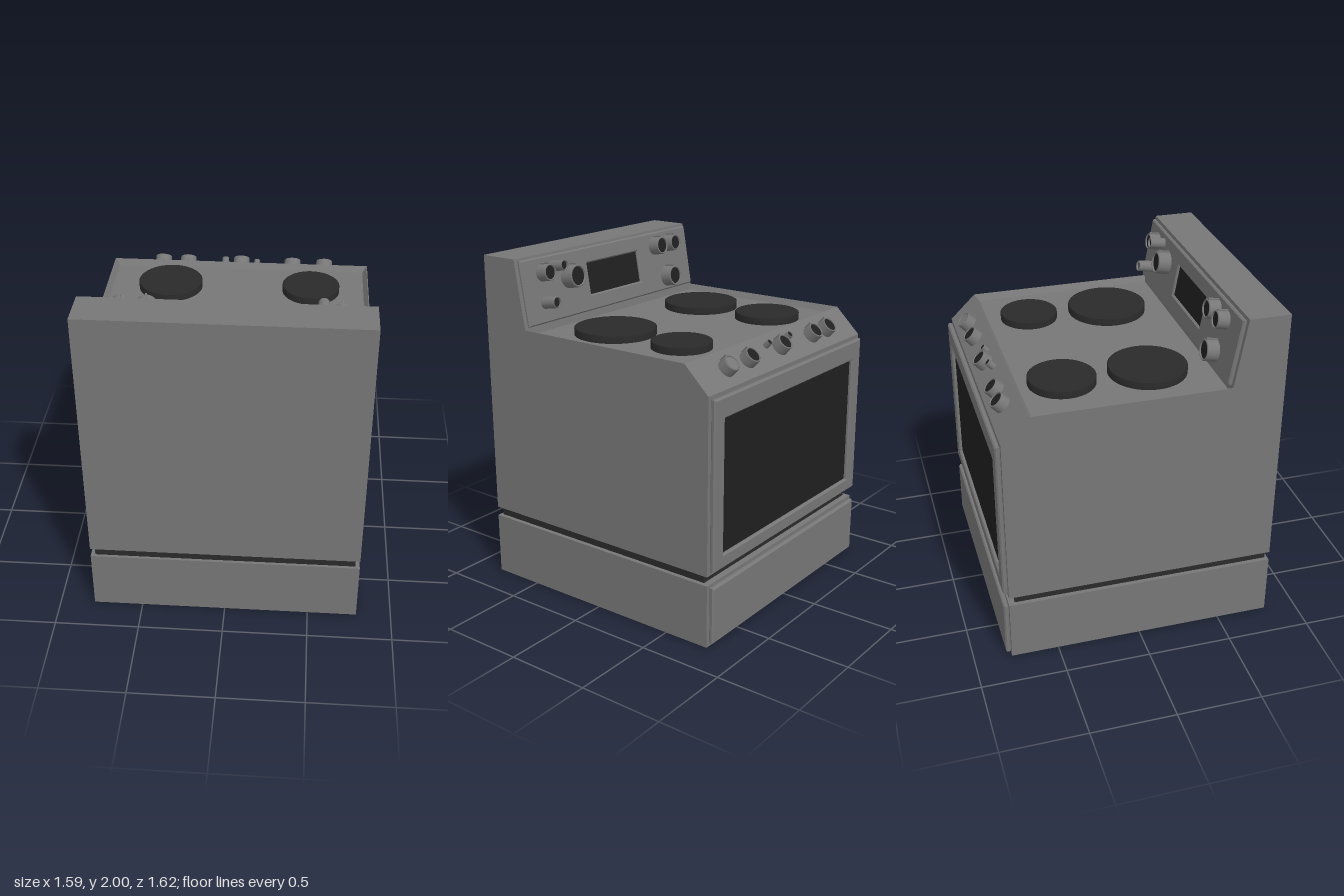
import * as THREE from 'three';

const mat = (color, side = THREE.FrontSide) => new THREE.MeshStandardMaterial({ color, side });
const steel = mat(0x777777);
const black = mat(0x2a2a2a);
const glass = mat(0x1f1f1f);
const knobSteel = mat(0x777777, THREE.DoubleSide);
const W = 1.586;

function add(parent, name, geometry, material, x = 0, y = 0, z = 0) {
  const mesh = new THREE.Mesh(geometry, material);
  mesh.name = name;
  mesh.position.set(x, y, z);
  parent.add(mesh);
  return mesh;
}

// Group whose local +y points along the outward normal (0, ny, nz); local +z runs up the face
function mount(parent, name, x, y, z, ny, nz) {
  const g = new THREE.Group();
  g.name = name;
  g.position.set(x, y, z);
  g.rotation.x = Math.atan2(nz, ny);
  parent.add(g);
  return g;
}

// Extrude a (z, y) outline across the width
function acrossX(points, width) {
  const shape = new THREE.Shape(points.map(([z, y]) => new THREE.Vector2(z, y)));
  return new THREE.ExtrudeGeometry(shape, { depth: width, bevelEnabled: false })
    .translate(0, 0, -width / 2).rotateY(-Math.PI / 2);
}

function rectPath(Type, w, h, x = 0, y = 0) {
  const p = new Type();
  p.moveTo(x - w / 2, y - h / 2);
  p.lineTo(x + w / 2, y - h / 2);
  p.lineTo(x + w / 2, y + h / 2);
  p.lineTo(x - w / 2, y + h / 2);
  p.closePath();
  return p;
}

// Bevelled plate lying on local y = 0, with an optional opening [w, h, x, z]
function plate(w, h, t, hole) {
  const b = 0.008;
  const shape = rectPath(THREE.Shape, w, h);
  if (hole) shape.holes.push(rectPath(THREE.Path, hole[0], hole[1], hole[2], -hole[3]));
  return new THREE.ExtrudeGeometry(shape, {
    depth: t - 2 * b, bevelThickness: b, bevelSize: b, bevelOffset: -b, bevelSegments: 1,
  }).translate(0, 0, b).rotateX(-Math.PI / 2);
}

// Hollow-topped knob with a sunken cap and a pointer ridge
function knob(g, r, h, capMaterial, ridge) {
  const profile = [[r, 0], [r * 0.96, h * 0.94], [r * 0.9, h], [r * 0.8, h], [r * 0.78, h * 0.8]]
    .map(([x, y]) => new THREE.Vector2(x, y));
  add(g, 'knobBody', new THREE.LatheGeometry(profile, 28), knobSteel);
  add(g, 'knobCap', new THREE.CylinderGeometry(r * 0.79, r * 0.79, 0.01, 28), capMaterial, 0, h * 0.82, 0);
  if (ridge) add(g, 'knobPointer', new THREE.BoxGeometry(0.01, h * 0.9, 0.014), steel, 0, h * 0.5, r);
}

export function createModel() {
  const model = new THREE.Group();
  model.name = 'stove';

  // Base, dark gap and main body
  add(model, 'base', new THREE.BoxGeometry(W, 0.375, 1.59), steel, 0, 0.1875, 0.015);
  add(model, 'shadowGap', new THREE.BoxGeometry(1.535, 0.08, 1.535), black, 0, 0.403, 0.025);
  add(model, 'body', acrossX([
    [0.81, 0.43], [0.81, 2], [0.573, 2], [0.505, 1.6], [0.5, 1.565],
    [-0.6, 1.565], [-0.626, 1.6], [-0.78, 1.45], [-0.78, 0.43],
  ], W), steel);

  // Sloped rims along both sides of the sunken cooktop
  for (const s of [-1, 1]) {
    const rim = new THREE.Shape([[0, 0], [0.028, 0], [0.004, 0.035], [0, 0.035]]
      .map(([d, y]) => new THREE.Vector2(s * (W / 2 - d), y)));
    add(model, 'cooktopRim', new THREE.ExtrudeGeometry(rim, { depth: 1.135, bevelEnabled: false }),
      steel, 0, 1.565, -0.626);
  }

  // Hot plates with a slightly dished top
  const burners = [[-0.41, -0.355, 0.193], [0.446, -0.35, 0.172], [-0.41, 0.14, 0.227], [0.427, 0.14, 0.238]];
  for (const [x, z, r] of burners) {
    const profile = [[r, 0], [r, 0.042], [r * 0.97, 0.046], [r * 0.86, 0.046], [r * 0.83, 0.042], [0, 0.042]]
      .map(([a, b]) => new THREE.Vector2(a, b));
    const geo = new THREE.LatheGeometry(profile, 48);
    add(model, 'burner', geo, black, x, 1.564, z);
  }

  // Oven door with sunken window
  const door = mount(model, 'ovenDoor', 0, 0.94, -0.78, 0, -1);
  add(door, 'doorFrame', plate(1.55, 0.98, 0.03, [1.36, 0.78, 0, -0.02]), steel);
  add(door, 'doorWindow', new THREE.BoxGeometry(1.37, 0.01, 0.79), glass, 0, 0.005, -0.02);

  // Drawer front
  const drawer = mount(model, 'drawer', 0, 0.19, -0.78, 0, -1);
  add(drawer, 'drawerFront', plate(1.55, 0.34, 0.03), steel);

  // Knobs on the sloped front edge: x, z, radius, height, dark cap
  const frontKnobs = [
    [-0.5, -0.704, 0.052, 0.058, true], [-0.34, -0.704, 0.052, 0.058, true], [0, -0.704, 0.052, 0.062, true],
    [0.325, -0.704, 0.052, 0.058, true], [0.527, -0.704, 0.052, 0.058, false],
    [-0.1, -0.678, 0.021, 0.05, true], [0.1, -0.676, 0.018, 0.04, true],
  ];
  for (const [x, z, r, h, dark] of frontKnobs) {
    const y = 1.6 + (z + 0.626) * (0.15 / 0.154);
    knob(mount(model, 'frontKnob', x, y, z, 0.716, -0.698), r, h, dark ? glass : steel, r > 0.04);
  }

  // Back console with display
  const ny = 0.168, nz = -0.986;
  const panel = mount(model, 'console', 0, 1.798, 0.539, ny, nz);
  add(panel, 'consolePanel', plate(1.55, 0.38, 0.026, [0.475, 0.19, -0.017, 0]), steel);
  add(panel, 'display', new THREE.BoxGeometry(0.48, 0.012, 0.195), glass, -0.017, 0.006, 0);

  // Console knobs: x, y, radius, height
  const consoleKnobs = [
    [-0.525, 1.7, 0.065, 0.072], [-0.575, 1.905, 0.053, 0.07], [-0.435, 1.905, 0.057, 0.07],
    [0.395, 1.845, 0.07, 0.08], [0.61, 1.9, 0.05, 0.07], [0.513, 1.925, 0.032, 0.095], [0.623, 1.73, 0.035, 0.1],
  ];
  for (const [x, y, r, h] of consoleKnobs) {
    const z = 0.505 + (y - 1.6) * 0.17 - 0.025;
    knob(mount(model, 'consoleKnob', x, y, z, ny, nz), r, h, glass, r > 0.04);
  }

  return model;
}
